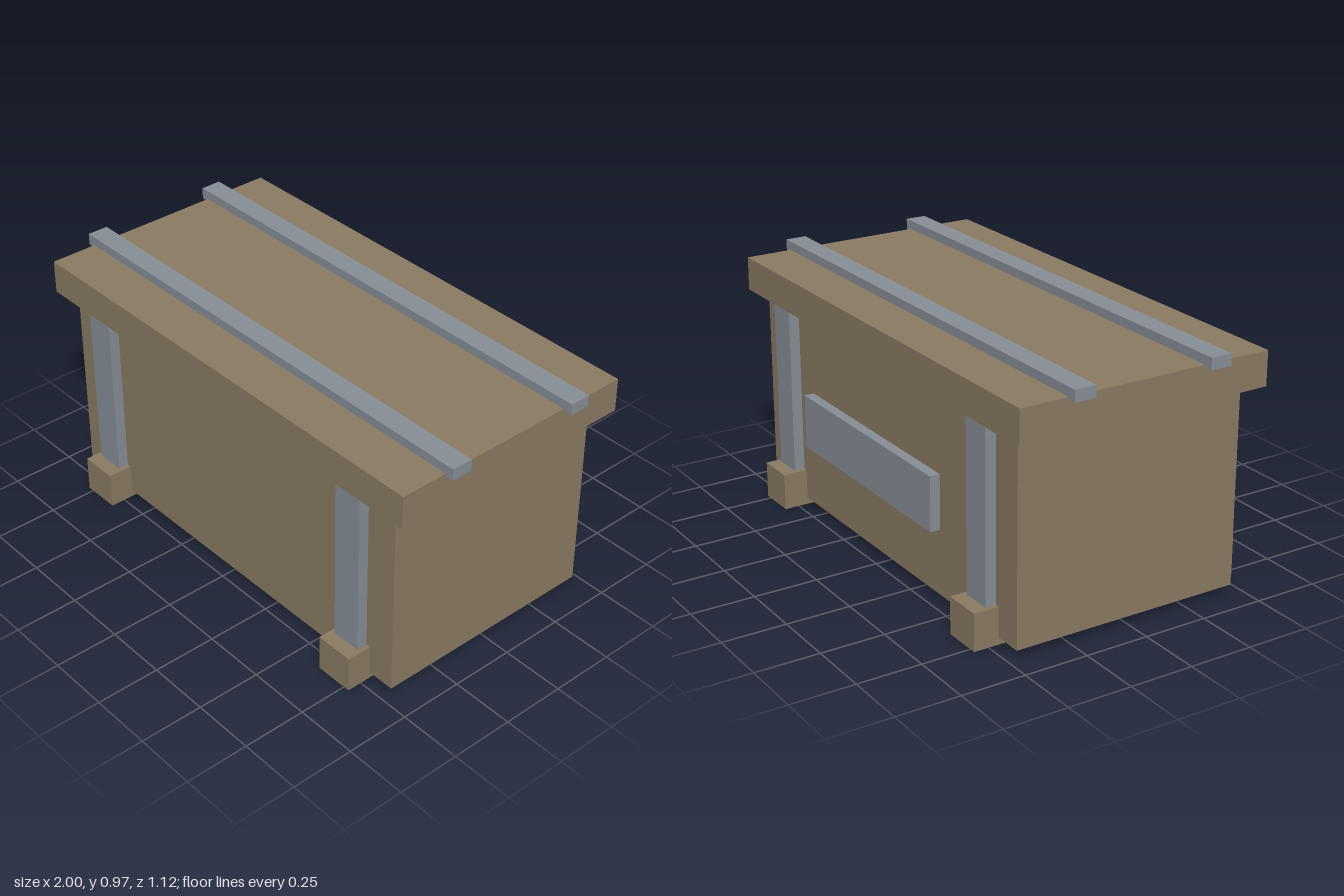
import * as THREE from 'three';

const wood = new THREE.MeshStandardMaterial({ color: 0x8a7a63 });
wood.name = 'brown wood';
const metal = new THREE.MeshStandardMaterial({ color: 0x868e96 });
metal.name = 'grey metal';

export function createModel() {
  const model = new THREE.Group();
  model.name = 'crate';

  // Adds a box from its [min, max] extents on each axis
  function addBox(name, material, [x0, x1], [y0, y1], [z0, z1]) {
    const mesh = new THREE.Mesh(new THREE.BoxGeometry(x1 - x0, y1 - y0, z1 - z0), material);
    mesh.position.set((x0 + x1) / 2, (y0 + y1) / 2, (z0 + z1) / 2);
    mesh.name = name;
    model.add(mesh);
  }

  // Body and overhanging lid
  addBox('body', wood, [-0.887, 0.887], [0.028, 0.806], [-0.46, 0.46]);
  addBox('lid', wood, [-0.967, 0.967], [0.806, 0.938], [-0.507, 0.507]);

  for (const side of [-1, 1]) {
    const label = side > 0 ? 'left' : 'right';
    const cx = side * 0.697;

    // Runner passing under the body from front to back
    addBox(`${label}Runner`, wood, [cx - 0.077, cx + 0.077], [0, 0.145], [-0.558, 0.558]);

    // Upright straps on the front and back
    for (const face of [-1, 1]) {
      const z = [face * 0.455, face * 0.502].sort((a, b) => a - b);
      addBox(`${label}${face > 0 ? 'Front' : 'Back'}Strap`, metal,
        [cx - 0.06, cx + 0.06], [0.14, 0.806], z);
    }

    // Long rails across the lid
    const cz = side * 0.277;
    addBox(side > 0 ? 'frontLidRail' : 'backLidRail', metal,
      [-1, 1], [0.928, 0.973], [cz - 0.042, cz + 0.042]);
  }

  // Plate standing off the back
  addBox('backPlate', metal, [-0.46, 0.46], [0.318, 0.528], [-0.537, -0.498]);

  return model;
}
